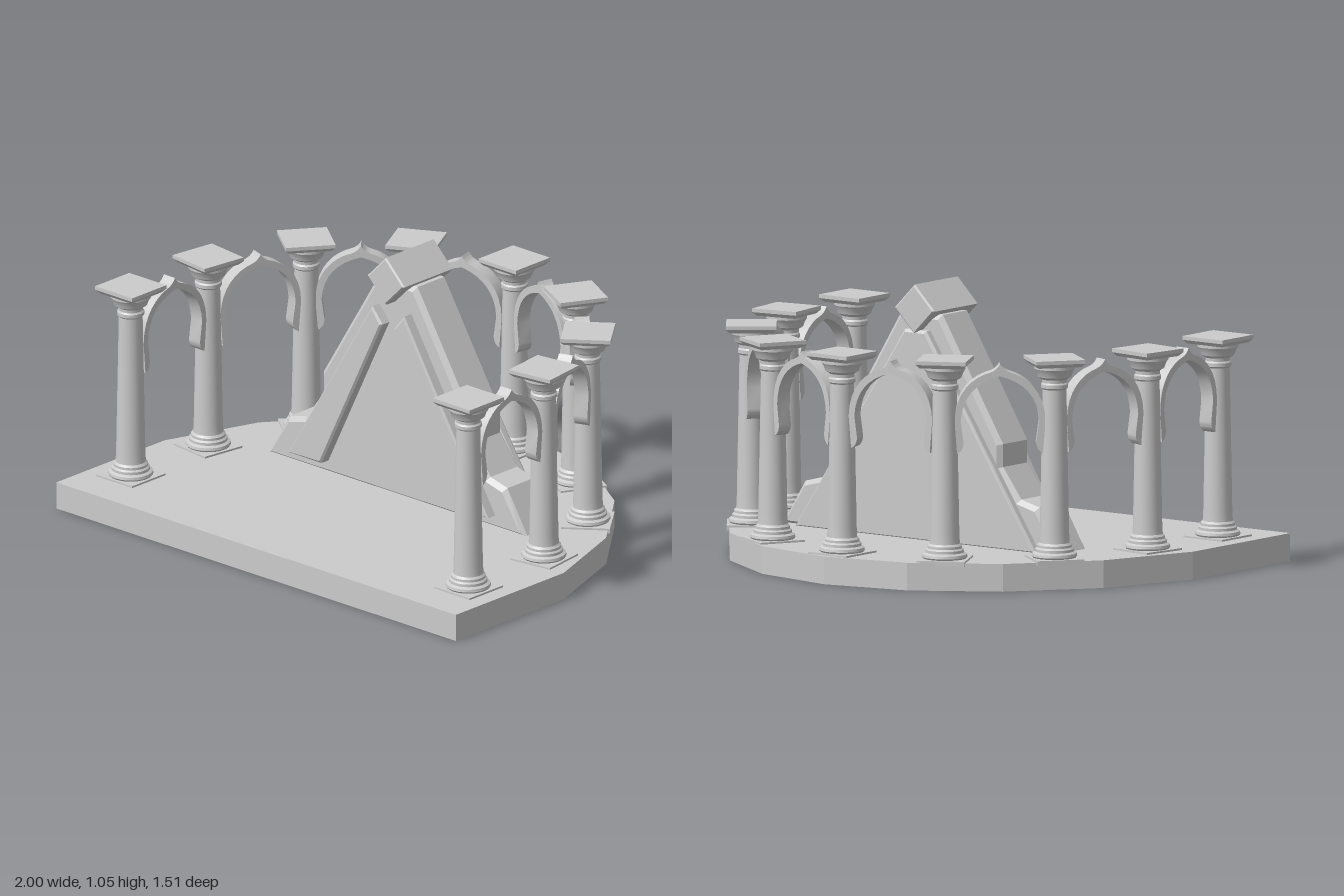
import * as THREE from 'three';
import { toCreasedNormals } from 'three/addons/utils/BufferGeometryUtils.js';

const material = new THREE.MeshStandardMaterial({ color: 0xcccccc });

function add(parent, name, geometry) {
  const mesh = new THREE.Mesh(geometry, material);
  mesh.name = name;
  parent.add(mesh);
  return mesh;
}

const toShape = (points) => new THREE.Shape(points.map(([x, y]) => new THREE.Vector2(x, y)));
const mirrored = (half) => [...half, ...half.filter(([x]) => x > 0).reverse().map(([x, y]) => [-x, y])];

// Slab in the xy plane between two z values, with bevelled rims
function slab(points, zBack, zFront, bevel = 0) {
  const geometry = new THREE.ExtrudeGeometry(toShape(points), {
    depth: zFront - zBack - 2 * bevel,
    bevelEnabled: bevel > 0, bevelSize: bevel, bevelOffset: -bevel,
    bevelThickness: bevel, bevelSegments: 1,
  });
  return geometry.translate(0, 0, zBack + bevel);
}

// Square block, wider or narrower at the bottom
function squareBlock(top, bottom, y0, y1) {
  const geometry = new THREE.CylinderGeometry(top * Math.SQRT2, bottom * Math.SQRT2, y1 - y0, 4, 1);
  return toCreasedNormals(geometry.rotateY(Math.PI / 4).translate(0, (y0 + y1) / 2, 0), 0.5);
}

// Radius and height from column foot to capital
const columnProfile = [
  [0.078, 0.108], [0.084, 0.116], [0.082, 0.126], [0.071, 0.132], [0.071, 0.142],
  [0.064, 0.148], [0.064, 0.157], [0.056, 0.165], [0.054, 0.2], [0.044, 0.735],
  [0.05, 0.741], [0.05, 0.754], [0.045, 0.76], [0.046, 0.772], [0.062, 0.782],
  [0.068, 0.8], [0.076, 0.812], [0.076, 0.828],
];

function makeColumn() {
  const column = new THREE.Group();
  column.name = 'column';
  add(column, 'plinth', squareBlock(0.09, 0.09, 0.092, 0.11));
  const points = columnProfile.map(([r, y]) => new THREE.Vector2(r, y));
  add(column, 'shaft', toCreasedNormals(new THREE.LatheGeometry(points, 24), 0.5));
  add(column, 'abacus', squareBlock(0.093, 0.08, 0.824, 0.838));
  add(column, 'capitalTop', squareBlock(0.093, 0.093, 0.838, 0.852));
  return column;
}

// Pointed arch band with a finial and curved feet
function archGeometry() {
  const s = new THREE.Shape();
  s.moveTo(0.158, 0.5);
  s.lineTo(0.168, 0.62);
  s.bezierCurveTo(0.165, 0.73, 0.1, 0.785, 0.035, 0.802);
  s.quadraticCurveTo(0.012, 0.81, 0, 0.832);
  s.quadraticCurveTo(-0.012, 0.81, -0.035, 0.802);
  s.bezierCurveTo(-0.1, 0.785, -0.165, 0.73, -0.168, 0.62);
  s.lineTo(-0.158, 0.5);
  s.quadraticCurveTo(-0.136, 0.51, -0.134, 0.54);
  s.lineTo(-0.145, 0.62);
  s.bezierCurveTo(-0.14, 0.71, -0.09, 0.765, 0, 0.787);
  s.bezierCurveTo(0.09, 0.765, 0.14, 0.71, 0.145, 0.62);
  s.lineTo(0.134, 0.54);
  s.quadraticCurveTo(0.136, 0.51, 0.158, 0.5);
  const geometry = new THREE.ExtrudeGeometry(s, { depth: 0.056, bevelEnabled: false, curveSegments: 8 });
  return toCreasedNormals(geometry.translate(0, 0, -0.028), 0.6);
}

export function createModel() {
  const model = new THREE.Group();
  model.name = 'colonnadeShrine';

  // Floor with a straight front and faceted round back
  const outline = mirrored([
    [0, 0.755], [0.337, 0.69], [0.635, 0.5], [0.87, 0.2], [1, -0.17], [1, -0.755],
  ]);
  add(model, 'base', slab(outline, 0, 0.103).rotateX(-Math.PI / 2));

  // Columns from the front right around the back to the front left: x, z, turn in degrees
  const half = [[0.845, 0.52, 0], [0.84, 0.105, 8], [0.705, -0.28, 37], [0.4, -0.545, 62]];
  const spots = [...half, [0, -0.645, 90], ...half.map(([x, z, a]) => [-x, z, 180 - a]).reverse()];
  const arch = archGeometry();
  spots.forEach(([x, z, turn], i) => {
    const column = makeColumn();
    column.position.set(x, 0, z);
    column.rotation.y = THREE.MathUtils.degToRad(turn);
    model.add(column);
    if (i === 0) return;
    const [px, pz] = spots[i - 1];
    const mesh = add(model, 'arch', arch);
    mesh.position.set((x + px) / 2, 0, (z + pz) / 2);
    mesh.rotation.y = Math.atan2(pz - z, x - px);
  });

  // Stepped triangular monument
  const monument = new THREE.Group();
  monument.name = 'monument';
  model.add(monument);
  const body = mirrored([
    [0.645, 0.1], [0.545, 0.265], [0.46, 0.287], [0.375, 0.4], [0.375, 0.485], [0.095, 0.94],
  ]);
  add(monument, 'body', slab(body, -0.18, 0, 0.018));
  add(monument, 'backPanel', slab([[-0.56, 0.1], [0.56, 0.1], [0.05, 0.88], [-0.05, 0.88]], -0.212, -0.17, 0.01));

  // Raised sloping bands on the front
  for (const side of [-1, 1]) {
    const band = [[0.5, 0.15], [0.335, 0.15], [0.03, 0.775], [0.08, 0.835]].map(([x, y]) => [x * side, y]);
    add(monument, 'frontBand', slab(band, -0.02, 0.045, 0.008));
  }

  // Diamond-set capstone
  const r = 0.093;
  const diamond = [[0, 0.957 - r], [r, 0.957], [0, 0.957 + r], [-r, 0.957]];
  add(monument, 'capstone', slab(diamond, -0.214, 0.055, 0.006));
  return model;
}
